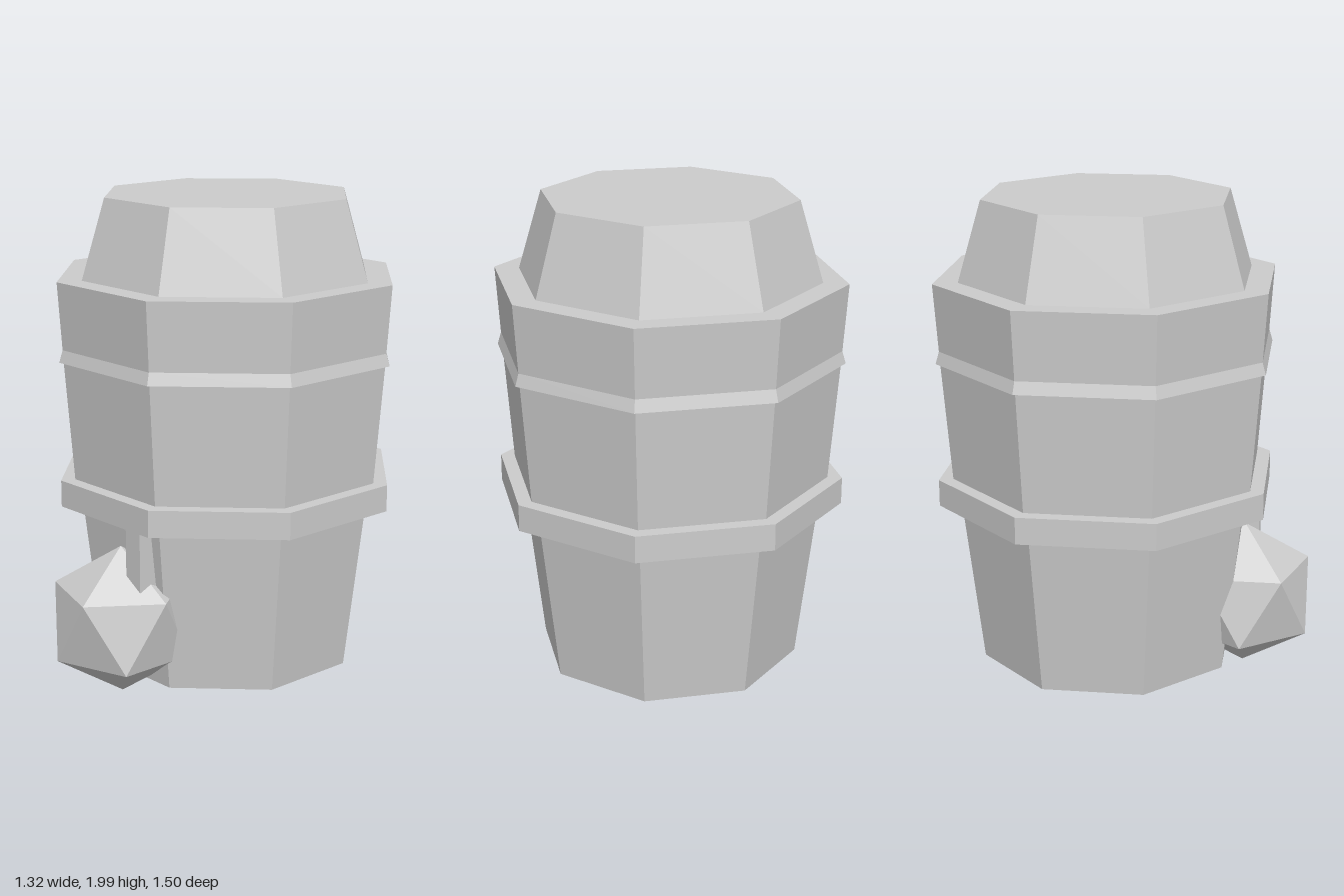
import * as THREE from 'three';
import { ConvexGeometry } from 'three/addons/geometries/ConvexGeometry.js';

const BARREL_Z = -0.09;

export function createModel() {
  const grey = new THREE.MeshStandardMaterial({ color: 0xcccccc });
  const model = new THREE.Group();
  model.name = 'barrelWithTap';

  const add = (name, geometry, parent) => {
    const mesh = new THREE.Mesh(geometry, grey);
    mesh.name = name;
    parent.add(mesh);
    return mesh;
  };

  // Eight-sided ring with flats on the axes; the profile lists [flat radius, height] upwards.
  const octagonal = (profile) => {
    const points = profile.map(([r, y]) => new THREE.Vector2(r / Math.cos(Math.PI / 8), y));
    const geometry = new THREE.LatheGeometry(points, 8, Math.PI / 8).toNonIndexed();
    geometry.computeVertexNormals();
    return geometry;
  };

  // Barrel, from the base up
  const barrel = new THREE.Group();
  barrel.name = 'barrel';
  barrel.position.z = BARREL_Z;
  model.add(barrel);
  const sections = {
    lowerBody: [[0, 0.06], [0.5, 0.06], [0.575, 0.75]],
    lowerHoop: [[0.575, 0.75], [0.66, 0.75], [0.66, 0.86], [0.605, 0.86]],
    middleBody: [[0.605, 0.86], [0.64, 1.35]],
    upperHoop: [[0.64, 1.35], [0.657, 1.35], [0.643, 1.4]],
    upperBody: [[0.643, 1.4], [0.66, 1.675], [0.565, 1.675]],
    lid: [[0.565, 1.675], [0.475, 2], [0, 2]],
  };
  for (const [name, profile] of Object.entries(sections)) add(name, octagonal(profile), barrel);

  // Hanging faceted ball: two poles and two staggered rings of five corners
  const radius = 0.311;
  const ring = radius * 2 / Math.sqrt(5);
  const corners = [new THREE.Vector3(0, radius, 0), new THREE.Vector3(0, -radius, 0)];
  for (let i = 0; i < 5; i++) {
    const a = i * Math.PI * 2 / 5;
    const upper = new THREE.Vector3(ring * Math.cos(a), ring / 2, ring * Math.sin(a));
    corners.push(upper, upper.clone().negate());
  }
  add('facetedBall', new ConvexGeometry(corners), model).position.set(0, 0.319, 0.485);

  // Strap holding the ball under the lower hoop
  add('strap', new THREE.BoxGeometry(0.085, 0.34, 0.1), model).position.set(0.143, 0.62, 0.49);

  return model;
}
